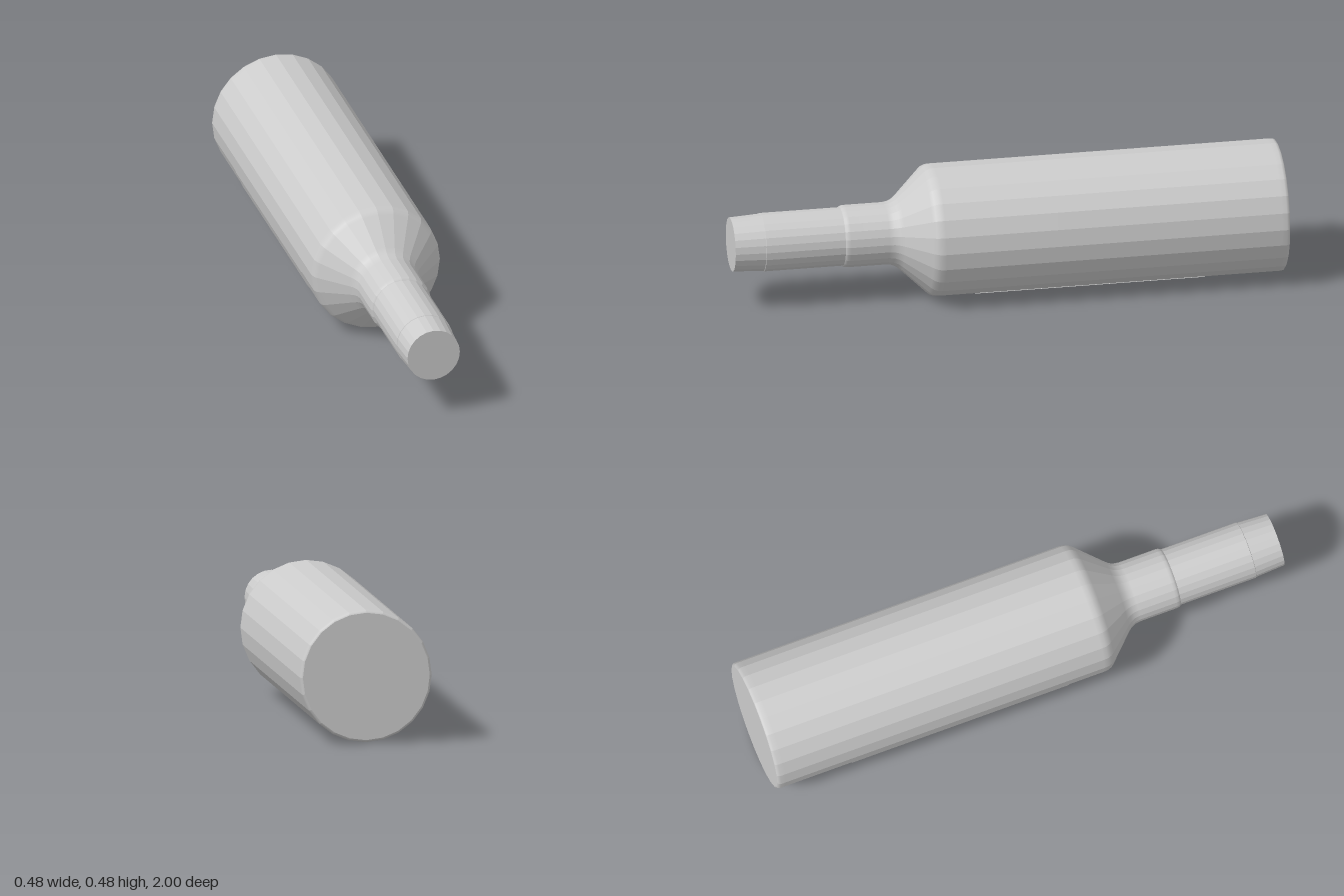
import * as THREE from 'three';

const SIDES = 24, AXIS_Y = 0.242;
const BODY_R = 0.24;

// Lathe around z from [radius, z] points: faceted around the axis, smooth along it
function turned(name, profile, sides = SIDES, start = 0, sweep = Math.PI * 2) {
  const points = profile.map(([r, z]) => new THREE.Vector2(r, z));
  const geo = new THREE.LatheGeometry(points, sides, start, sweep).toNonIndexed();
  const pos = geo.attributes.position, nor = geo.attributes.normal;
  for (let i = 0; i < pos.count; i += 3) {
    // middle direction of this facet, ignoring points on the axis
    let sx = 0, sz = 0;
    const dirs = [0, 1, 2].map(k => [nor.getX(i + k), nor.getZ(i + k)]);
    const angles = [0, 1, 2].map(k => Math.atan2(pos.getX(i + k), pos.getZ(i + k)));
    const onAxis = [0, 1, 2].map(k => Math.hypot(pos.getX(i + k), pos.getZ(i + k)) < 1e-6);
    const seen = [];
    angles.forEach((a, k) => {
      if (onAxis[k] || seen.some(b => Math.cos(a - b) > 0.9999)) return;
      seen.push(a);
      sx += Math.sin(a);
      sz += Math.cos(a);
    });
    const len = Math.hypot(sx, sz) || 1;
    dirs.forEach(([nx, nz], k) => {
      const radial = Math.hypot(nx, nz);
      nor.setXYZ(i + k, radial * sx / len, nor.getY(i + k), radial * sz / len);
    });
  }
  geo.rotateX(Math.PI / 2);
  const mesh = new THREE.Mesh(geo, new THREE.MeshStandardMaterial({ color: 0xcccccc, side: THREE.DoubleSide }));
  mesh.name = name;
  mesh.position.y = AXIS_Y;
  return mesh;
}

// Flat end disc facing +z or -z
function disc(name, radius, z, facing) {
  const mesh = new THREE.Mesh(new THREE.CircleGeometry(radius, SIDES, Math.PI / 2),
    new THREE.MeshStandardMaterial({ color: 0xcccccc }));
  mesh.name = name;
  mesh.position.set(0, AXIS_Y, z);
  if (facing < 0) mesh.rotation.y = Math.PI;
  return mesh;
}

export function createModel() {
  const group = new THREE.Group();
  group.name = 'bottle';

  // Glass: base edge, straight body, rounded shoulder, neck and rounded lip
  group.add(
    disc('base', 0.231, -1, -1),
    turned('glassBody', [
      [0.231, -1], [0.237, -0.997], [BODY_R, -0.988], [BODY_R, -0.97],
      [BODY_R, 0.255], [0.239, 0.272], [0.233, 0.287], [0.223, 0.299],
      [0.137, 0.388], [0.124, 0.403], [0.116, 0.42], [0.113, 0.44],
      [0.113, 0.58], [0.112, 0.59], [0.109, 0.597], [0.104, 0.6],
    ]),
  );

  // Capsule around the mouth, then the tapered stopper
  group.add(
    turned('capsule', [[0.106, 0.598], [0.106, 0.888]]),
    turned('capsuleRim', [[0.106, 0.888], [0.103, 0.89]]),
    turned('stopper', [[0.104, 0.888], [0.098, 1]]),
    disc('stopperEnd', 0.098, 1, 1),
  );

  // Thin label wrapped around a third of the body
  group.add(turned('label', [[BODY_R + 0.002, -0.71], [BODY_R + 0.002, 0.12]],
    8, Math.PI * 1.5, Math.PI * 2 / 3));

  return group;
}
